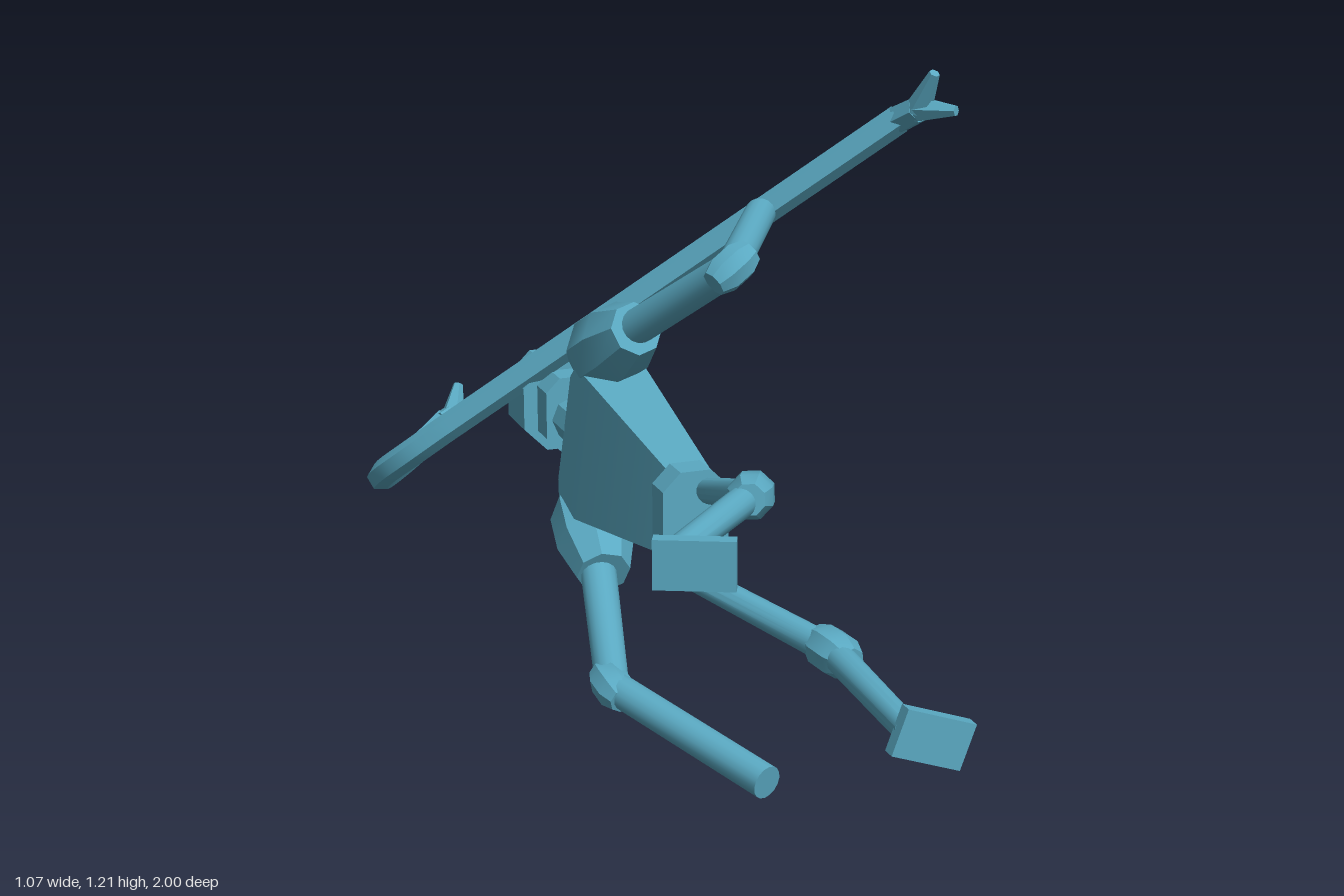
import * as THREE from 'three';
import { toCreasedNormals } from 'three/addons/utils/BufferGeometryUtils.js';

const V = (p) => new THREE.Vector3(...p);
const UP = new THREE.Vector3(0, 1, 0);

export function createModel() {
  const group = new THREE.Group();
  const blue = new THREE.MeshStandardMaterial({ color: 0x5aa9c2 });
  blue.name = 'steel blue';

  const add = (name, geometry) => {
    const mesh = new THREE.Mesh(toCreasedNormals(geometry, 0.5), blue);
    mesh.name = name;
    group.add(mesh);
    return mesh;
  };

  // Turned solid from a to b; profile is [fraction along, radius] pairs.
  const turned = (name, a, b, profile, sides = 16) => {
    const start = V(a), dir = V(b).sub(start), len = dir.length();
    const pts = profile.map(([t, r]) => new THREE.Vector2(r, t * len));
    pts.unshift(new THREE.Vector2(0, pts[0].y));
    pts.push(new THREE.Vector2(0, pts[pts.length - 1].y));
    const mesh = add(name, new THREE.LatheGeometry(pts, sides));
    mesh.position.copy(start);
    mesh.quaternion.setFromUnitVectors(UP, dir.normalize());
    return mesh;
  };
  const rod = (name, a, b, r1, r2 = r1, sides = 16) => turned(name, a, b, [[0, r1], [1, r2]], sides);

  // Faceted joint centred on c, lying along the direction from a to b.
  const joint = (name, a, c, b, r) => {
    const d = V(b).sub(V(a)).normalize().multiplyScalar(r * 1.3);
    turned(name, V(c).sub(d).toArray(), V(c).add(d).toArray(),
      [[0, r * 0.7], [0.28, r], [0.72, r], [1, r * 0.7]], 8);
  };

  // Solid from matching counter-clockwise xy outlines at rising z.
  const loft = (name, sections) => {
    const pos = [], idx = [], n = sections[0][1].length;
    sections.forEach(([z, pts]) => pts.forEach(([x, y]) => pos.push(x, y, z)));
    for (let s = 0; s < sections.length - 1; s++) {
      for (let i = 0; i < n; i++) {
        const a = s * n + i, b = s * n + (i + 1) % n;
        idx.push(a, b, b + n, a, b + n, a + n);
      }
    }
    const top = (sections.length - 1) * n;
    for (let i = 1; i < n - 1; i++) idx.push(0, i + 1, i, top, top + i, top + i + 1);
    const g = new THREE.BufferGeometry();
    g.setAttribute('position', new THREE.Float32BufferAttribute(pos, 3));
    g.setIndex(idx);
    return add(name, g);
  };
  // Rectangle with cut corners.
  const octagon = (x0, x1, y0, y1, c) => [
    [x0 + c, y0], [x1 - c, y0], [x1, y0 + c], [x1, y1 - c],
    [x1 - c, y1], [x0 + c, y1], [x0, y1 - c], [x0, y0 + c]];

  // Torso, pelvis and neck
  loft('torso', [
    [-0.31, [[-0.22, 0.35], [-0.11, 0.35], [-0.08, 0.57], [-0.19, 0.57]]],
    [-0.24, [[-0.24, 0.30], [-0.10, 0.30], [-0.06, 0.61], [-0.20, 0.61]]],
    [0.25, [[-0.19, 0.37], [-0.11, 0.37], [-0.09, 0.525], [-0.17, 0.525]]],
  ]);
  const hips = octagon(-0.21, -0.08, 0.32, 0.55, 0.035);
  loft('pelvis', [[0.255, hips], [0.315, hips]]);
  rod('neck', [-0.16, 0.455, -0.29], [-0.16, 0.455, -0.4], 0.048, 0.048, 8);

  // Head with jaw and face plate
  loft('head', [
    [-0.605, octagon(-0.225, -0.085, 0.395, 0.535, 0.04)],
    [-0.57, octagon(-0.25, -0.06, 0.37, 0.56, 0.05)],
    [-0.45, octagon(-0.25, -0.06, 0.37, 0.56, 0.05)],
  ]);
  const jaw = octagon(-0.22, -0.08, 0.385, 0.545, 0.03);
  loft('jaw', [[-0.46, jaw], [-0.385, jaw]]);
  const face = octagon(-0.14, -0.05, 0.37, 0.56, 0.008);
  loft('facePlate', [[-0.54, face], [-0.455, face]]);

  // Arms: shoulder pad, upper arm, elbow, forearm
  const arms = [
    { side: 'upper', pad: [[-0.15, 0.60, -0.31], [-0.12, 0.72, -0.09]], top: [-0.13, 0.70, -0.13],
      elbow: [-0.005, 0.885, 0.135], hand: [0.19, 0.905, -0.21] },
    { side: 'lower', pad: [[-0.165, 0.32, -0.32], [-0.195, 0.215, -0.09]], top: [-0.195, 0.225, -0.13],
      elbow: [-0.275, 0.095, 0.2], hand: [-0.11, 0.035, 0.59] },
  ];
  for (const { side, pad, top, elbow, hand } of arms) {
    turned(side + 'ShoulderPad', pad[0], pad[1], [[0, 0.045], [0.3, 0.08], [0.65, 0.08], [1, 0.055]], 8);
    rod(side + 'UpperArm', top, elbow, 0.037, 0.033);
    joint(side + 'Elbow', top, elbow, hand, 0.038);
    rod(side + 'Forearm', elbow, hand, 0.032);
  }

  // Legs: thigh, knee, shin, flat foot
  const legs = [
    { side: 'upper', hip: [-0.12, 0.51, 0.32], knee: [-0.165, 0.61, 0.645], ankle: [-0.395, 0.615, 0.89],
      foot: [-0.38, 0.615, 0.945], toe: [0.13, 0, 0.06], width: [0, 1, 0] },
    { side: 'lower', hip: [-0.155, 0.345, 0.32], knee: [-0.005, 0.295, 0.64], ankle: [-0.015, 0.285, 0.98],
      foot: [0.025, 0.268, 0.986], toe: [0.13, -0.048, 0], width: [0.048, 0.13, 0] },
  ];
  for (const { side, hip, knee, ankle, foot, toe, width } of legs) {
    rod(side + 'Thigh', hip, knee, 0.025, 0.028);
    joint(side + 'Knee', hip, knee, ankle, 0.042);
    rod(side + 'Shin', knee, ankle, 0.028, 0.025);
    const x = V(toe).normalize(), y = V(width).normalize();
    const mesh = add(side + 'Foot', new THREE.BoxGeometry(0.135, 0.085, 0.026));
    mesh.quaternion.setFromRotationMatrix(new THREE.Matrix4().makeBasis(x, y, x.clone().cross(y)));
    mesh.position.set(...foot);
  }

  // Hooked bar: long straight shaft running into a curved end
  const shaftTop = [0.455, 1.1, -0.115], shaftEnd = [-0.40, 0.405, -0.555];
  const path = new THREE.CurvePath();
  path.add(new THREE.LineCurve3(V(shaftTop), V(shaftEnd)));
  path.add(new THREE.CatmullRomCurve3([
    shaftEnd, [-0.465, 0.345, -0.6], [-0.502, 0.29, -0.67], [-0.495, 0.25, -0.75],
    [-0.45, 0.237, -0.83], [-0.37, 0.26, -0.9], [-0.29, 0.305, -0.945],
  ].map(V)));
  add('hookedBar', new THREE.TubeGeometry(path, 60, 0.03, 6, false));

  // Forked claws at both ends of the bar
  const claw = (name, root, neck, tips) => {
    rod(name + 'Neck', root, neck, 0.031, 0.029, 6);
    tips.forEach((tip) => rod(name + 'Prong', neck, tip, 0.028, 0.011, 6));
  };
  claw('straightClaw', shaftTop, [0.475, 1.125, -0.07], [[0.485, 1.205, -0.02], [0.525, 1.13, 0]]);
  claw('hookClaw', [-0.30, 0.3, -0.94], [-0.275, 0.312, -0.95], [[-0.25, 0.375, -0.99], [-0.21, 0.305, -0.965]]);

  return group;
}
